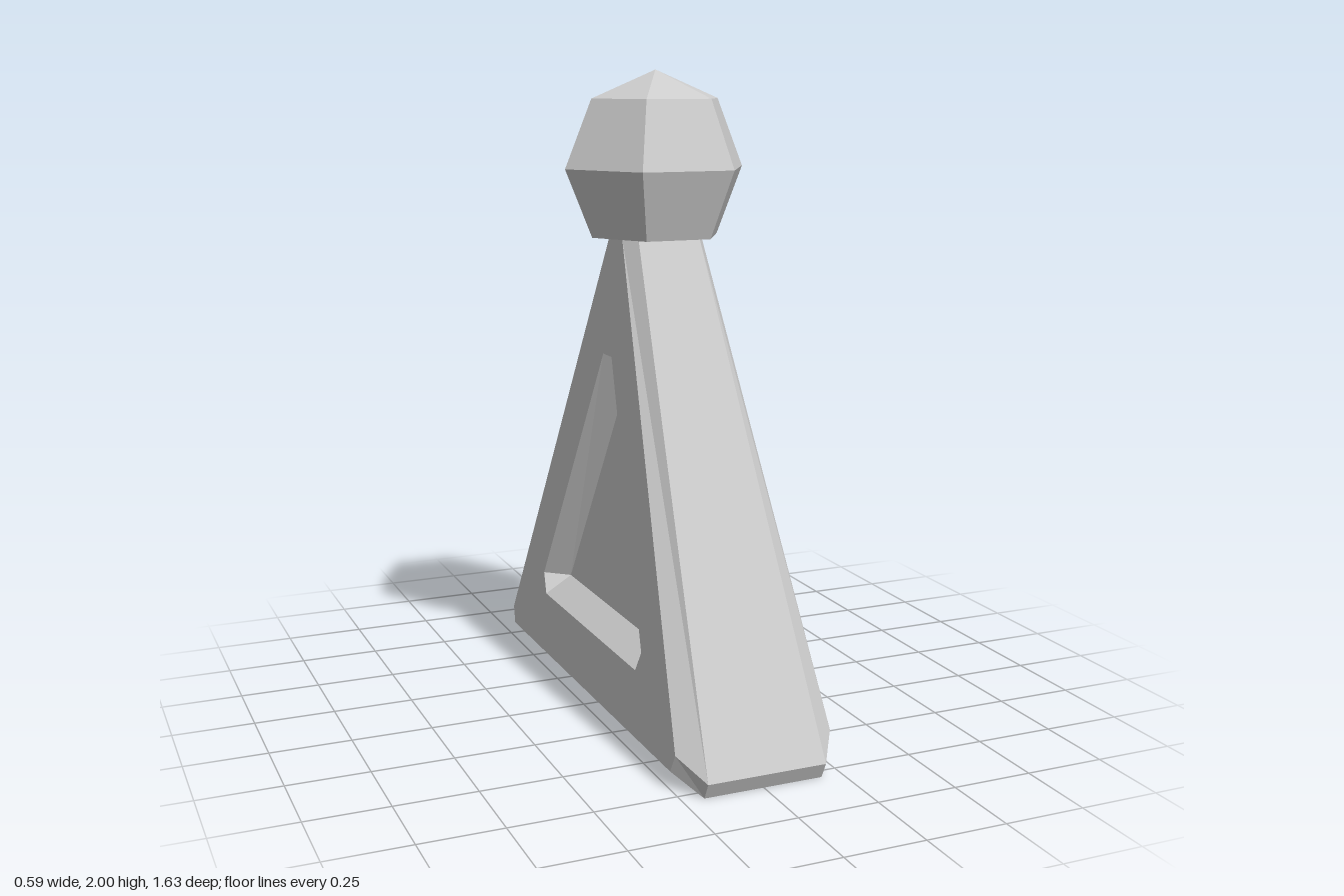
import * as THREE from 'three';

const material = new THREE.MeshStandardMaterial({ color: 0xcccccc, flatShading: true });

// Flat polygons, each turned away from (sign 1) or towards (sign -1) a reference point
function facets(name, polygons, ref, sign = 1) {
  const positions = [];
  for (const poly of polygons) {
    const p = poly.map(c => new THREE.Vector3(...c));
    const normal = p[1].clone().sub(p[0]).cross(p[2].clone().sub(p[0]));
    if (normal.dot(p[0].clone().sub(ref)) * sign < 0) p.reverse();
    for (let i = 1; i < p.length - 1; i++) {
      for (const v of [p[0], p[i], p[i + 1]]) positions.push(v.x, v.y, v.z);
    }
  }
  const geometry = new THREE.BufferGeometry();
  geometry.setAttribute('position', new THREE.Float32BufferAttribute(positions, 3));
  geometry.computeVertexNormals();
  const mesh = new THREE.Mesh(geometry, material);
  mesh.name = name;
  return mesh;
}

// The broad side leans inwards towards the top
const sideX = y => 0.255 - 0.0825 * y;
const onSide = (z, y, depth = 0) => [sideX(y) - depth, y, z];

// One half of the body: one broad side and one narrow end
function bodyHalf(name) {
  const half = new THREE.Group();
  half.name = name;
  const core = new THREE.Vector3(0, 0.6, 0);

  // Broad side with the recess opening
  const outline = [[-0.70, 0.055], [0.70, 0.055], [0.725, 0.11], [0.05, 1.5], [-0.05, 1.5], [-0.725, 0.11]];
  const rim = [[-0.40, 0.25], [0.40, 0.25], [0.435, 0.315], [0.035, 1.13], [-0.035, 1.13], [-0.435, 0.315]];
  const toPoints = list => list.map(([u, y]) => new THREE.Vector2(u, y));
  const shape = new THREE.Shape(toPoints(outline));
  shape.holes.push(new THREE.Path(toPoints(rim)));
  const panel = new THREE.ShapeGeometry(shape);
  panel.rotateY(Math.PI / 2);
  const pos = panel.attributes.position;
  for (let i = 0; i < pos.count; i++) pos.setX(i, sideX(pos.getY(i)));
  panel.computeVertexNormals();
  const side = new THREE.Mesh(panel, material);
  side.name = 'sidePanel';
  half.add(side);

  // Sunken triangle: floor and sloping walls
  const depth = 0.085;
  const apex = onSide(0, 1.10, depth);
  const foot = s => onSide(s * 0.40, 0.305, depth);
  half.add(facets('recessFloor', [[foot(-1), foot(1), apex]], core));
  const walls = [
    [onSide(-0.40, 0.25), onSide(0.40, 0.25), foot(1), foot(-1)],
    [onSide(-0.035, 1.13), onSide(0.035, 1.13), apex],
  ];
  for (const s of [-1, 1]) {
    walls.push([onSide(s * 0.40, 0.25), onSide(s * 0.435, 0.315), foot(s)]);
    walls.push([onSide(s * 0.435, 0.315), onSide(s * 0.035, 1.13), apex, foot(s)]);
  }
  half.add(facets('recessWalls', walls, new THREE.Vector3(0.4, 0.55, 0), -1));

  // Bevels along the slanted edges, the lower edge and the corners
  const bevels = [[[0.185, 0, -0.79], [0.185, 0, 0.79], onSide(0.70, 0.055), onSide(-0.70, 0.055)]];
  for (const s of [-1, 1]) {
    bevels.push([[0.185, 0.05, s * 0.815], [0.10, 1.5, s * 0.105], onSide(s * 0.05, 1.5), onSide(s * 0.725, 0.11)]);
    bevels.push([[0.185, 0, s * 0.79], [0.185, 0.05, s * 0.815], onSide(s * 0.725, 0.11), onSide(s * 0.70, 0.055)]);
  }
  half.add(facets('bevels', bevels, core));

  // Narrow sloping end, its lower lip and half of the underside
  half.add(facets('slopingEnd', [
    [[-0.185, 0.05, 0.815], [0.185, 0.05, 0.815], [0.10, 1.5, 0.105], [-0.10, 1.5, 0.105]],
    [[-0.185, 0, 0.79], [0.185, 0, 0.79], [0.185, 0.05, 0.815], [-0.185, 0.05, 0.815]],
  ], core));
  half.add(facets('underside', [[[-0.185, 0, 0], [0.185, 0, 0], [0.185, 0, 0.79], [-0.185, 0, 0.79]]], core));
  return half;
}

export function createModel() {
  const model = new THREE.Group();
  model.name = 'gamePiece';

  // Wedge body from two halves turned about the vertical axis
  const frontHalf = bodyHalf('bodyFrontLeft');
  const backHalf = bodyHalf('bodyBackRight');
  backHalf.rotation.y = Math.PI;
  model.add(frontHalf, backHalf);

  // Six-sided faceted head with a flat underside
  const profile = [[0, 1.496], [0.209, 1.496], [0.295, 1.705], [0.209, 1.914], [0, 2]]
    .map(([r, y]) => new THREE.Vector2(r, y));
  const head = new THREE.Mesh(new THREE.LatheGeometry(profile, 6, Math.PI / 2), material);
  head.name = 'head';
  model.add(head);

  return model;
}
